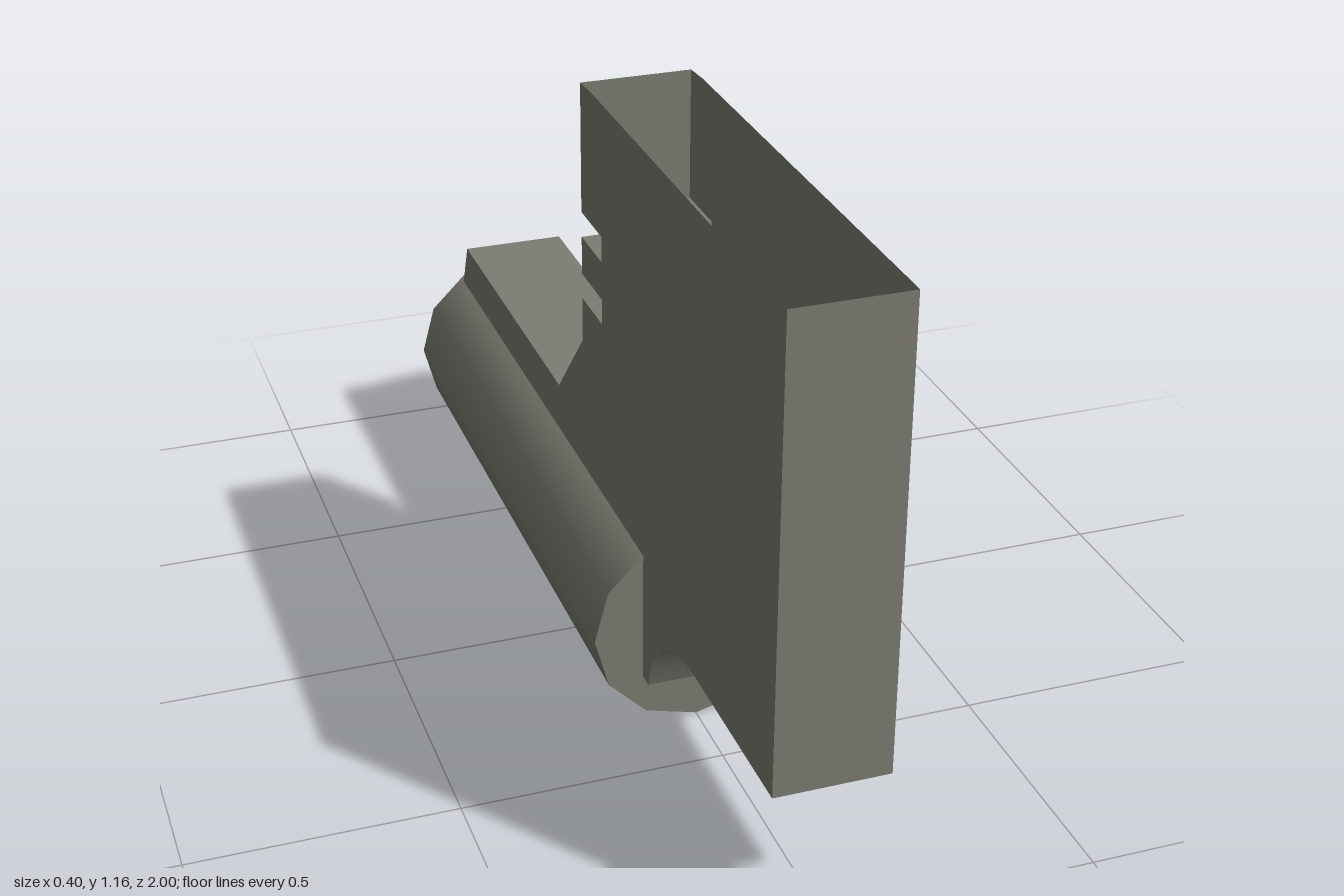
import * as THREE from 'three';
import { toCreasedNormals } from 'three/addons/utils/BufferGeometryUtils.js';

const HALF = 0.106;   // half width of the flat body
const RADIUS = 0.2;
const AXIS_Y = 0.203;

// Side outline as [z, y], from the front top edge round to the rear top edge; the top stays open
const outline = [
  [1, 1.162], [1, 0.285], [0.61, 0.285], [0.52, 0.269], [0.455, 0.232], [0.405, 0.165], [0.385, 0.108],
  [0.34, 0.108], [0.34, 0.36], [-0.895, 0.36],
  [-0.85, 0.467], [-0.16, 0.467], [0, 0.642],
  [0, 0.73], [0.12, 0.73], [0.12, 0.78], [0, 0.78],
  [0, 0.855], [0.12, 0.855], [0.12, 0.905], [0, 0.905],
  [0, 1.158], [0.06, 1.162],
];

// Walls that follow the outline across the width of the body
function wallStrip(points) {
  const position = [];
  for (let i = 0; i < points.length - 1; i++) {
    const [az, ay] = points[i];
    const [bz, by] = points[i + 1];
    position.push(-HALF, ay, az, -HALF, by, bz, HALF, by, bz);
    position.push(-HALF, ay, az, HALF, by, bz, HALF, ay, az);
  }
  const geometry = new THREE.BufferGeometry();
  geometry.setAttribute('position', new THREE.Float32BufferAttribute(position, 3));
  return toCreasedNormals(geometry, 0.6);
}

export function createModel() {
  const model = new THREE.Group();
  const metal = new THREE.MeshStandardMaterial({ color: 0x7d7d74 });
  metal.name = 'warm grey';
  metal.side = THREE.DoubleSide;

  const add = (name, geometry, parent = model) => {
    const mesh = new THREE.Mesh(geometry, metal);
    mesh.name = name;
    parent.add(mesh);
    return mesh;
  };

  // Hollow flat body, open at the top
  const body = new THREE.Group();
  body.name = 'body';
  model.add(body);
  const shape = new THREE.Shape(outline.map(([z, y]) => new THREE.Vector2(-z, y)));
  for (const side of [-1, 1]) {
    const panel = new THREE.ShapeGeometry(shape).rotateY(side * Math.PI / 2);
    if (side < 0) panel.scale(1, 1, -1), panel.index.array.reverse();
    panel.translate(side * HALF, 0, 0);
    add(side < 0 ? 'rightPanel' : 'leftPanel', panel, body);
  }
  add('edgeWalls', wallStrip(outline.slice(0, -1)), body);

  // Twelve-sided barrel lying along z
  const front = 0.355, rear = -0.91;
  add('barrel', new THREE.CylinderGeometry(RADIUS, RADIUS, front - rear, 12)
    .rotateX(-Math.PI / 2).translate(0, AXIS_Y, (front + rear) / 2));

  // Blunt rounded rear tip
  const tip = [[RADIUS, 0], [0.081, 0.09], [0, 0.09]].map(([r, h]) => new THREE.Vector2(r, h));
  add('rearTip', new THREE.LatheGeometry(tip, 12)
    .rotateX(-Math.PI / 2).translate(0, AXIS_Y, rear));

  return model;
}
